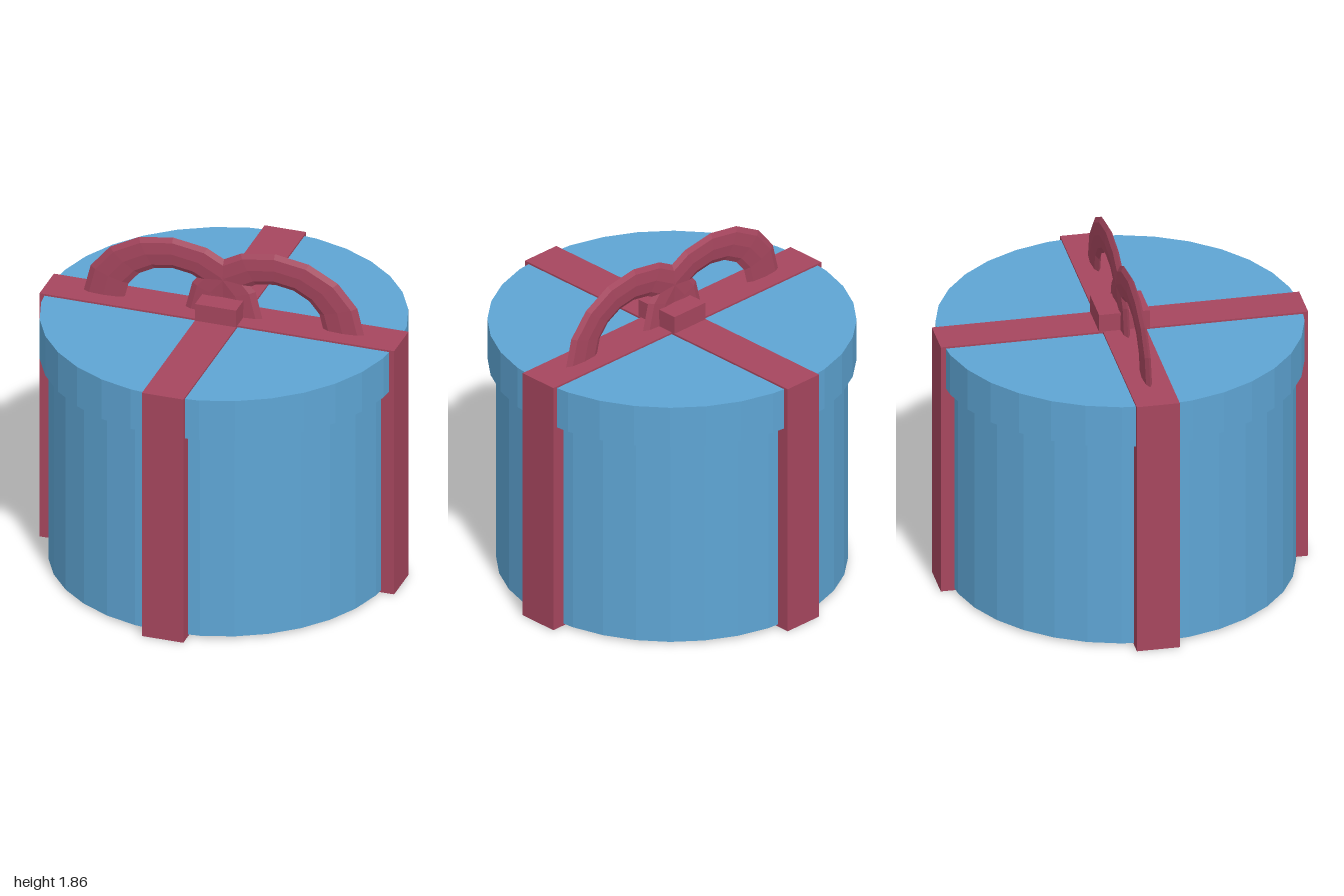
import * as THREE from 'three';

export function createModel() {
  const model = new THREE.Group();
  model.name = 'giftBox';

  const blue = new THREE.MeshStandardMaterial({ color: 0x5ea5d4, flatShading: true });
  blue.name = 'blue card';
  const red = new THREE.MeshStandardMaterial({ color: 0xa6465e, flatShading: true });
  red.name = 'red ribbon';

  const add = (name, geometry, material, x, y, z) => {
    const mesh = new THREE.Mesh(geometry, material);
    mesh.name = name;
    mesh.position.set(x, y, z);
    model.add(mesh);
    return mesh;
  };
  const drum = (name, radius, bottom, top) =>
    add(name, new THREE.CylinderGeometry(radius, radius, top - bottom, 32), blue, 0, (bottom + top) / 2, 0);

  // Round box and its wider lid
  drum('body', 0.931, 0.013, 1.3);
  drum('lid', 0.977, 1.213, 1.45);

  // Two ribbons wrapping the box in a cross
  const height = 1.46, width = 0.232, length = 1.986;
  add('ribbonAcross', new THREE.BoxGeometry(length, height, width), red, 0, height / 2, 0);
  add('ribbonFrontToBack', new THREE.BoxGeometry(width, height, length), red, 0, height / 2, 0);

  // Knot
  add('knot', new THREE.BoxGeometry(0.23, 0.12, 0.274), red, 0, 1.5, 0);

  // Bow: two thin, squashed, overlapping loops whose lower halves sink into the ribbon
  for (const side of [-1, 1]) {
    const loop = add(side < 0 ? 'bowLoopRight' : 'bowLoopLeft',
      new THREE.TorusGeometry(0.385, 0.115, 8, 16), red, side * 0.285, 1.46, 0);
    loop.scale.set(1, 0.8, 0.2);
  }

  // The whole box is turned slightly
  model.rotation.y = -0.058;
  const root = new THREE.Group();
  root.name = 'gift';
  root.add(model);
  return root;
}
